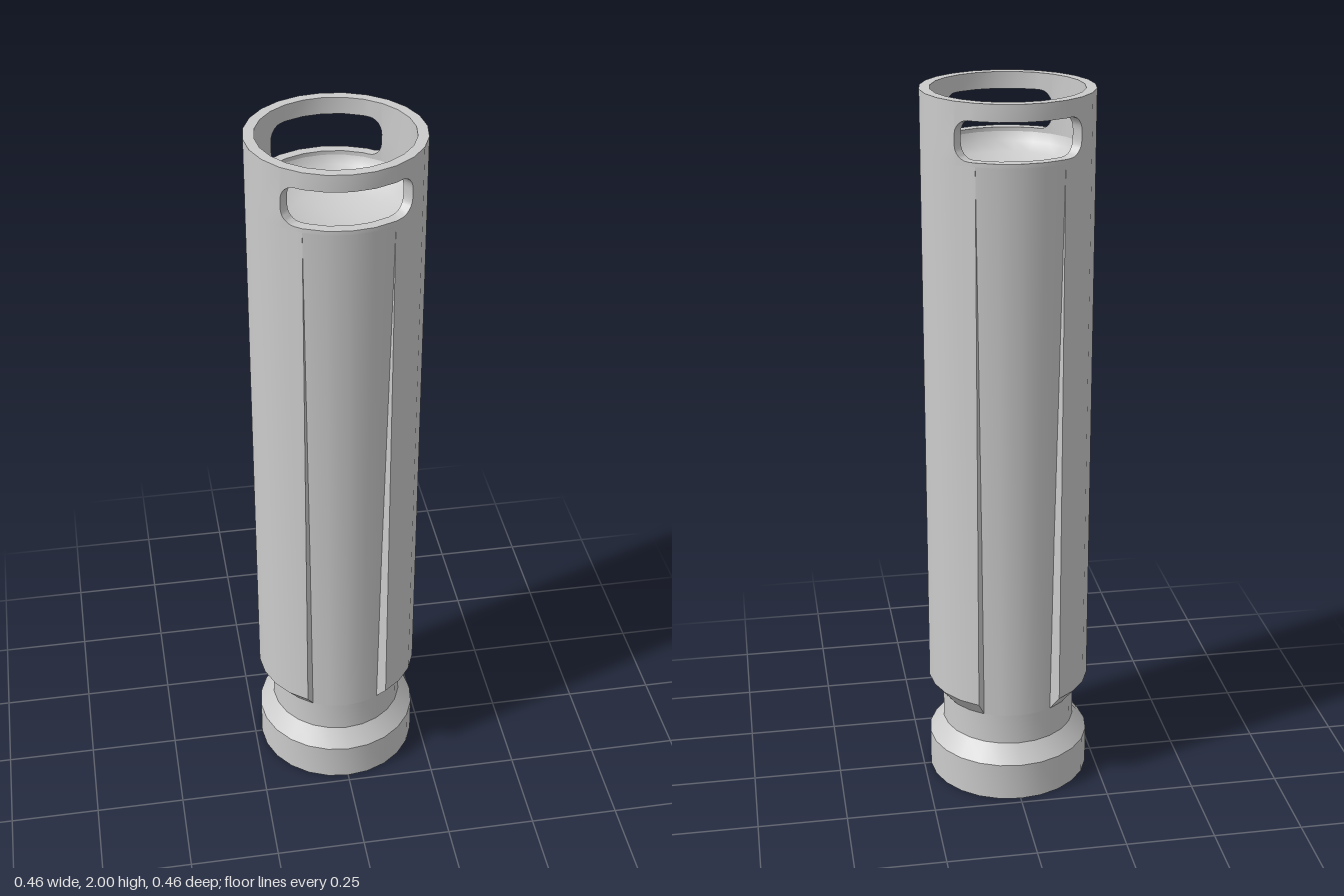
import * as THREE from 'three';
import { toCreasedNormals } from 'three/addons/utils/BufferGeometryUtils.js';

const SIDES = 24, OUTER = 0.23, INNER = 0.202, NECK = 0.19;
const PANEL_BOTTOM = 0.25, COLLAR_BOTTOM = 1.84, TOP = 2, SLOT_Y = 1.903;
const rad = THREE.MathUtils.degToRad;
const material = new THREE.MeshStandardMaterial({ color: 0xcccccc, side: THREE.DoubleSide });

function addMesh(group, name, geometry) {
  const mesh = new THREE.Mesh(toCreasedNormals(geometry, 0.65), material);
  mesh.name = name;
  group.add(mesh);
}

// Revolves [radius, height] points; angles in degrees, measured from +z towards +x
function revolve(points, start = 0, sweep = 360) {
  const profile = points.map(([r, y]) => new THREE.Vector2(r, y));
  return new THREE.LatheGeometry(profile, Math.round((sweep / 360) * SIDES), rad(start), rad(sweep));
}

// Point on the faceted tube wall
function wallPoint(r, degrees, y) {
  const step = 360 / SIDES;
  const offset = (degrees % step) - step / 2;
  const flat = (r * Math.cos(rad(step / 2))) / Math.cos(rad(offset));
  return [flat * Math.sin(rad(degrees)), y, flat * Math.cos(rad(degrees))];
}

// Tube collar with a rounded slot through the front and back walls
function slottedCollar() {
  // Columns of [angle, half slot height] over a quarter turn
  const quarter = [0, 15, 30, 35, 37.5, 40, 42, 43.5, 44.5, 45].map((a) => {
    const t = Math.max(0, (a - 35) / 10);
    return [a, 0.012 + 0.04 * Math.sqrt(1 - t * t)];
  });
  quarter.push([45, 0], [60, 0], [75, 0], [90, 0]);
  const back = [...quarter].reverse();
  const columns = [
    ...quarter,
    ...back.map(([a, h]) => [180 - a, h]),
    ...quarter.map(([a, h]) => [180 + a, h]),
    ...back.map(([a, h]) => [360 - a, h]),
  ];
  const positions = [];
  const quad = (a, b, c, d) => positions.push(...a, ...b, ...c, ...a, ...c, ...d);
  for (let i = 0; i < columns.length - 1; i++) {
    const [a, ha] = columns[i], [b, hb] = columns[i + 1];
    if (a === b && ha === hb) continue;
    const bands = [
      [COLLAR_BOTTOM, COLLAR_BOTTOM, SLOT_Y - ha, SLOT_Y - hb],
      [SLOT_Y + ha, SLOT_Y + hb, TOP, TOP],
    ];
    bands.forEach(([lowA, lowB, highA, highB], upper) => {
      const corners = (r) => [
        wallPoint(r, a, lowA), wallPoint(r, b, lowB),
        wallPoint(r, b, highB), wallPoint(r, a, highA),
      ];
      const o = corners(OUTER), n = corners(INNER);
      if (a !== b) {
        quad(o[0], o[1], o[2], o[3]);
        quad(n[1], n[0], n[3], n[2]);
      }
      // Rim on top, slot edges in between
      if ((upper && a !== b) || (!upper && ha + hb > 0)) quad(o[3], o[2], n[2], n[3]);
      if (upper && ha + hb > 0) quad(n[0], n[1], o[1], o[0]);
    });
  }
  const geometry = new THREE.BufferGeometry();
  geometry.setAttribute('position', new THREE.Float32BufferAttribute(positions, 3));
  return geometry;
}

// Shallow bowl points running from its centre out to the tube wall
function bowl(rimY, depth) {
  return [0, 18, 36, 54, 72, 90].map((a) => [
    INNER * Math.sin(rad(a)), rimY + depth * Math.cos(rad(a)),
  ]);
}

export function createModel() {
  const group = new THREE.Group();
  group.name = 'grip';

  // Base ring with a hollow underside, and the neck above it
  addMesh(group, 'baseAndNeck', revolve([
    ...bowl(0, 0.1), [OUTER, 0], [OUTER, 0.11], [NECK, 0.16], [NECK, PANEL_BOTTOM],
  ]));

  // Tapered recess that rises from the neck and fades into the tube
  const taper = [[NECK, PANEL_BOTTOM], [0.201, 0.8], [OUTER, COLLAR_BOTTOM]];
  // Outer wall with a chamfered lower edge
  const panel = [[NECK, PANEL_BOTTOM], [OUTER, 0.3], [OUTER, COLLAR_BOTTOM]];
  const step = new THREE.Shape(
    [...panel, taper[1]].map(([r, y]) => new THREE.Vector2(r, y)));

  for (const turn of [0, 180]) {
    const side = turn ? 'back' : 'front';
    addMesh(group, side + 'Recess', revolve(taper, turn - 30, 60));
    addMesh(group, (turn ? 'right' : 'left') + 'Panel', revolve(panel, turn + 30, 120));
    // Thin walls where the panels stand proud of the recess
    for (const edge of [-30, 30]) {
      const wall = new THREE.ShapeGeometry(step);
      wall.rotateY(rad(turn + edge - 90));
      addMesh(group, side + 'RecessWall', wall);
    }
  }

  // Slotted top and the dished floor inside it
  addMesh(group, 'slottedCollar', slottedCollar());
  addMesh(group, 'pocketFloor', revolve(bowl(COLLAR_BOTTOM, -0.08).reverse()));
  return group;
}
